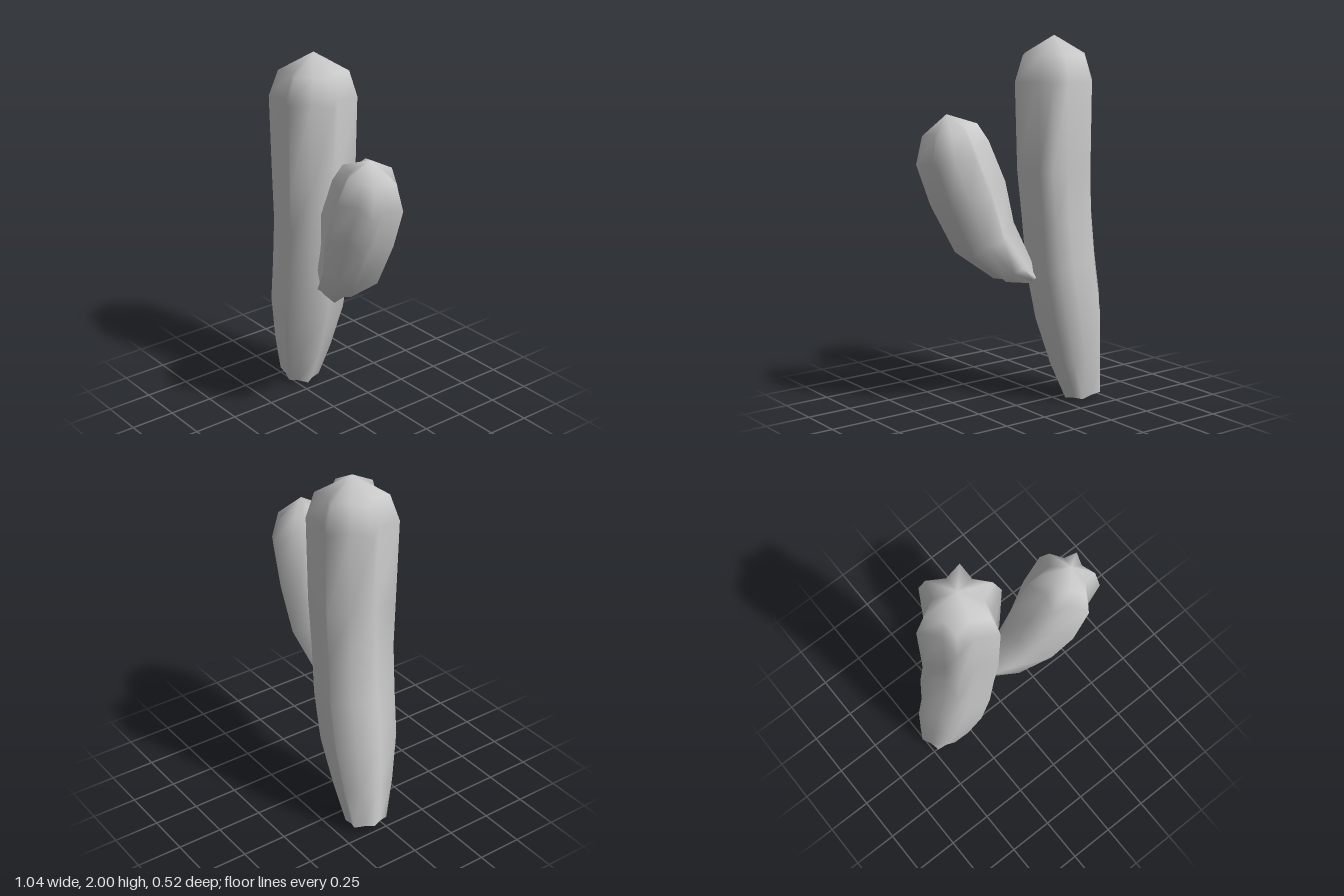
import * as THREE from 'three';

const RIBS = 6;
const material = new THREE.MeshStandardMaterial({ color: 0xcccccc, side: THREE.DoubleSide });

// Lofts a six-ribbed star along a stem, open at the base and pointed at the top.
// Each section is [x, y, z, rib radius, lean toward +x, valley ratio].
function ribbedStem(name, sections, apex, firstRib) {
  const positions = [];
  const indices = [];
  const n = RIBS * 2;

  for (const [x, y, z, radius, lean, valley] of sections) {
    for (let j = 0; j < n; j++) {
      const angle = firstRib + (j / n) * Math.PI * 2;
      const r = j % 2 ? radius * valley : radius;
      const across = r * Math.cos(angle);
      positions.push(
        x + across * Math.cos(lean),
        y - across * Math.sin(lean),
        z + r * Math.sin(angle)
      );
    }
  }
  positions.push(...apex);

  const last = sections.length - 1;
  const top = sections.length * n;
  for (let i = 0; i <= last; i++) {
    for (let j = 0; j < n; j++) {
      const a = i * n + j;
      const b = i * n + ((j + 1) % n);
      if (i === last) indices.push(a, top, b);
      else indices.push(a, a + n, b, b, a + n, b + n);
    }
  }

  const geometry = new THREE.BufferGeometry();
  geometry.setAttribute('position', new THREE.Float32BufferAttribute(positions, 3));
  geometry.setIndex(indices);
  geometry.computeVertexNormals();
  const mesh = new THREE.Mesh(geometry, material);
  mesh.name = name;
  return mesh;
}

export function createModel() {
  const cactus = new THREE.Group();
  cactus.name = 'cactus';

  // Main trunk, leaning at the foot and straightening upward
  cactus.add(ribbedStem('trunk', [
    [-0.41, 0.03, -0.07, 0.112, 0.25, 0.8],
    [-0.362, 0.25, -0.06, 0.16, 0.22, 0.75],
    [-0.312, 0.52, -0.055, 0.203, 0.2, 0.7],
    [-0.265, 0.78, -0.05, 0.212, 0.13, 0.68],
    [-0.24, 1.05, -0.045, 0.212, 0.06, 0.67],
    [-0.225, 1.3, -0.04, 0.223, 0.02, 0.67],
    [-0.222, 1.76, -0.037, 0.232, 0, 0.67],
    [-0.22, 1.9, -0.04, 0.185, 0, 0.67]
  ], [-0.22, 2, -0.04], THREE.MathUtils.degToRad(10)));

  // Side arm, growing out of the trunk and curving upward
  cactus.add(ribbedStem('arm', [
    [-0.095, 0.71, -0.01, 0.04, 1.1, 0.8],
    [0.025, 0.78, 0.015, 0.115, 0.75, 0.72],
    [0.18, 0.95, 0.04, 0.174, 0.55, 0.67],
    [0.27, 1.19, 0.06, 0.205, 0.35, 0.67],
    [0.36, 1.41, 0.068, 0.197, 0.36, 0.67],
    [0.375, 1.53, 0.07, 0.145, 0.25, 0.67]
  ], [0.39, 1.61, 0.075], THREE.MathUtils.degToRad(30)));

  return cactus;
}
